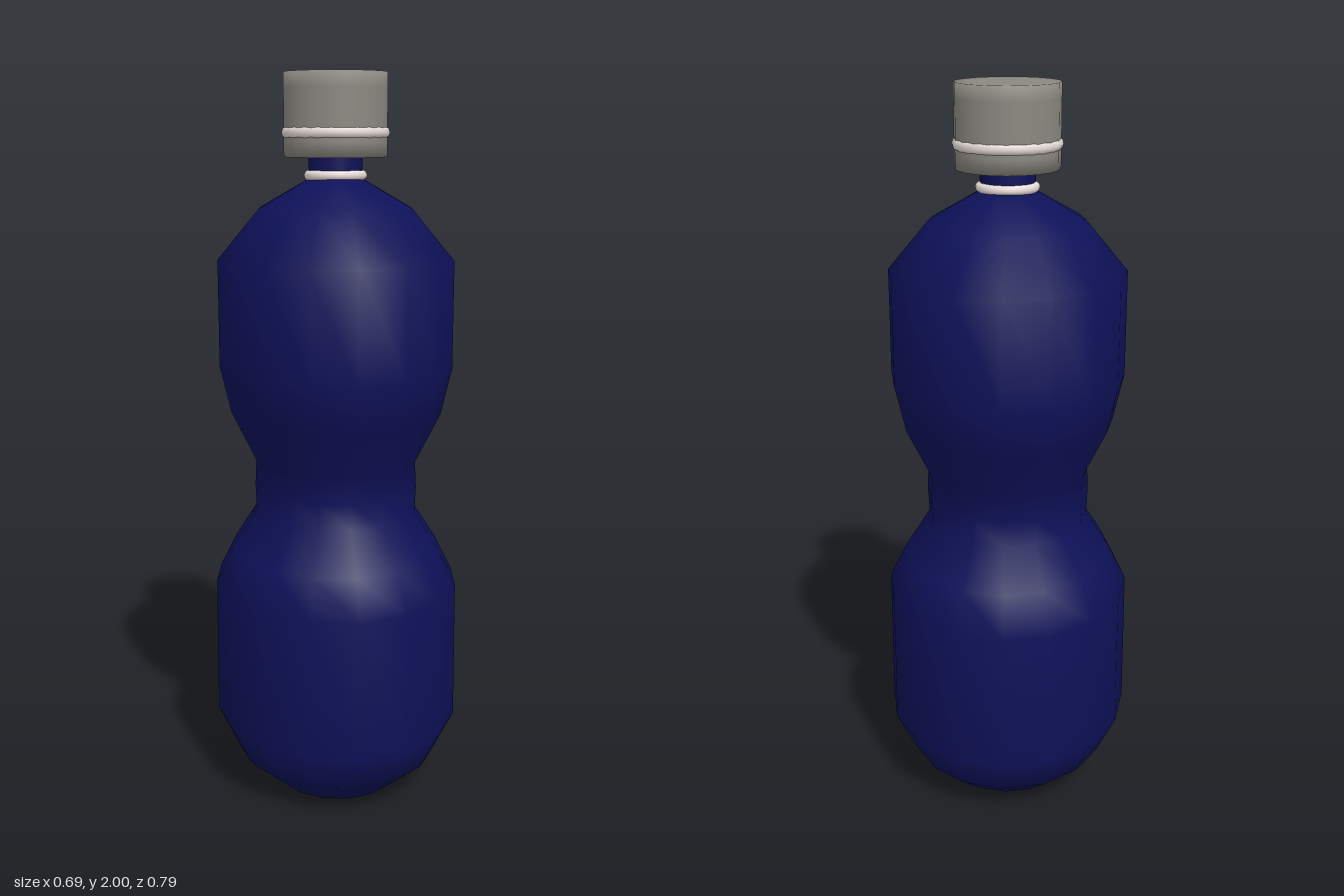
import * as THREE from 'three';

const lathe = (points, sides) =>
  new THREE.LatheGeometry(points.map(([r, y]) => new THREE.Vector2(r, y)), sides);

export function createModel() {
  const group = new THREE.Group();
  const navy = new THREE.MeshStandardMaterial({ color: 0x0e1158 });
  const grey = new THREE.MeshStandardMaterial({ color: 0x8a8880 });
  const white = new THREE.MeshStandardMaterial({ color: 0xe6dcd8 });

  const add = (name, geometry, material) => {
    const mesh = new THREE.Mesh(geometry, material);
    mesh.name = name;
    group.add(mesh);
    return mesh;
  };

  // Waisted body with an oval section, narrower from side to side
  const body = add('body', lathe([
    [0, 0], [0.216, 0], [0.33, 0.09], [0.396, 0.21], [0.393, 0.6],
    [0.335, 0.7], [0.258, 0.805], [0.262, 0.88], [0.258, 0.95],
    [0.336, 1.09], [0.37, 1.22], [0.37, 1.51], [0.24, 1.645],
    [0.08, 1.725], [0, 1.725],
  ], 16), navy);
  body.scale.x = 0.872;

  // Round neck running up into the cap
  const neck = add('neck', new THREE.CylinderGeometry(0.074, 0.074, 0.12, 16, 1, true), navy);
  neck.position.y = 1.76;

  // Closed cap with softly shaded rims
  add('cap', lathe([
    [0, 1.78], [0.1, 1.78], [0.14, 1.78], [0.14, 1.82], [0.14, 1.87],
    [0.14, 1.96], [0.14, 2], [0.1, 2], [0, 2],
  ], 20), grey);

  // Pale rings around the cap and the neck
  for (const [name, radius, tube, y] of [
    ['capRing', 0.128, 0.018, 1.844],
    ['neckRing', 0.072, 0.014, 1.732],
  ]) {
    const ring = add(name, new THREE.TorusGeometry(radius, tube, 10, 24), white);
    ring.rotation.x = Math.PI / 2;
    ring.position.y = y;
  }
  return group;
}
